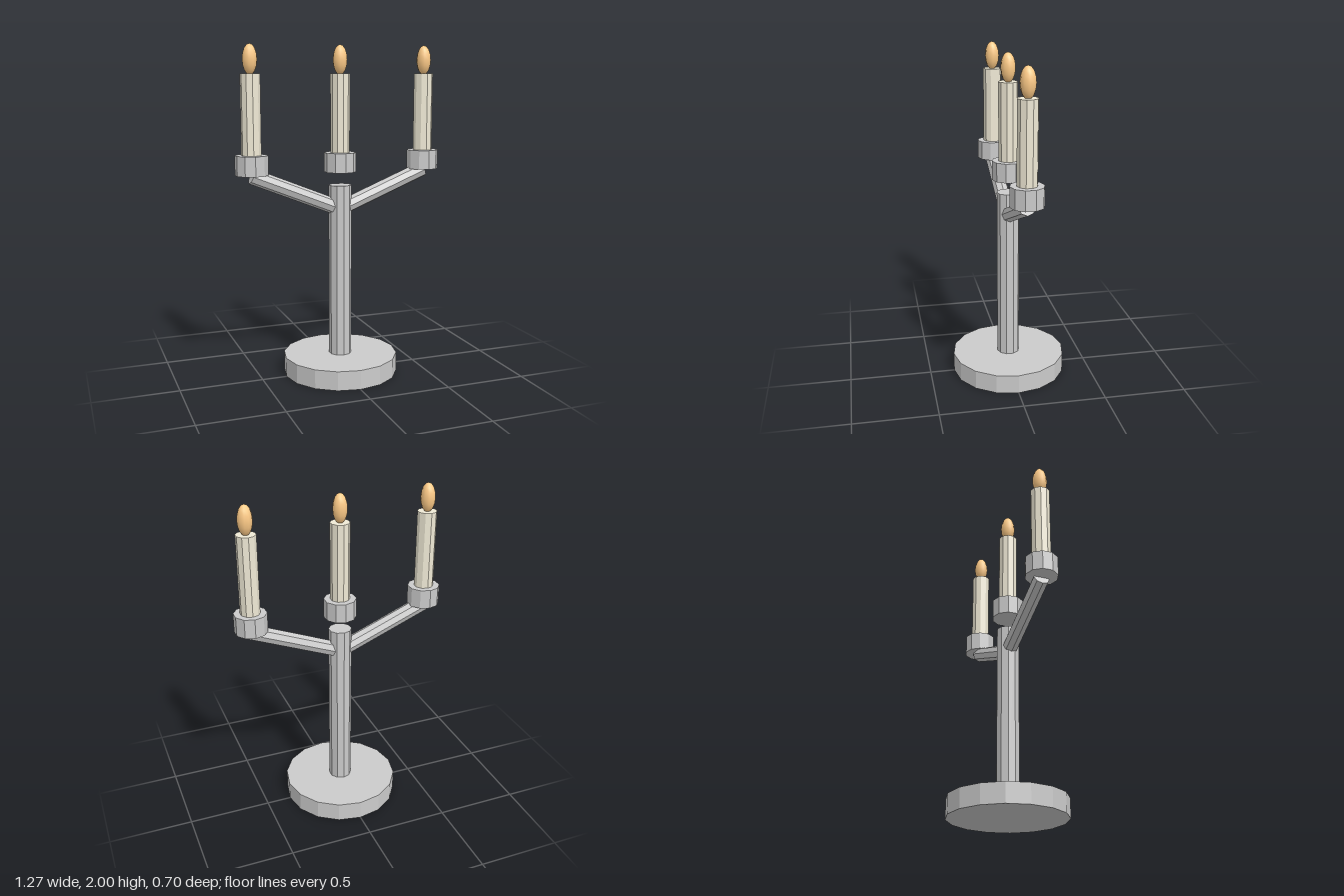
import * as THREE from 'three';

const metal = new THREE.MeshStandardMaterial({ color: 0xcccccc, flatShading: true });
const wax = new THREE.MeshStandardMaterial({ color: 0xf0ead6, flatShading: true });
const fire = new THREE.MeshStandardMaterial({ color: 0xffcc88 });

// Upright faceted cylinder between two heights
function post(name, radius, bottom, top, sides, material) {
  const mesh = new THREE.Mesh(new THREE.CylinderGeometry(radius, radius, top - bottom, sides), material);
  mesh.name = name;
  mesh.position.y = (bottom + top) / 2;
  return mesh;
}

// Cup, candle and flame, centred on x
function candleSet(name, x) {
  const set = new THREE.Group();
  set.name = name;
  set.position.x = x;
  const flame = new THREE.Mesh(new THREE.SphereGeometry(0.044, 10, 8), fire);
  flame.name = 'flame';
  flame.scale.y = 2;
  flame.position.y = 1.912;
  set.add(
    post('cup', 0.097, 1.25, 1.366, 10, metal),
    post('candle', 0.058, 1.366, 1.832, 10, wax),
    flame
  );
  return set;
}

// Straight sloping arm from the stem to the underside of a cup
function arm(name, side) {
  const start = new THREE.Vector3(0, 1.025, 0);
  const end = new THREE.Vector3(side * 0.545, 1.245, 0);
  const along = end.clone().sub(start);
  const mesh = new THREE.Mesh(new THREE.CylinderGeometry(0.047, 0.047, along.length(), 8), metal);
  mesh.name = name;
  mesh.position.copy(start).add(end).multiplyScalar(0.5);
  mesh.rotation.z = -Math.atan2(along.x, along.y);
  return mesh;
}

export function createModel() {
  const model = new THREE.Group();
  model.name = 'candelabra';
  model.add(
    post('base', 0.35, 0, 0.117, 16, metal),
    post('stem', 0.069, 0.117, 1.17, 10, metal),
    arm('leftArm', 1),
    arm('rightArm', -1),
    candleSet('leftCandle', 0.545),
    candleSet('middleCandle', 0),
    candleSet('rightCandle', -0.545)
  );
  return model;
}
